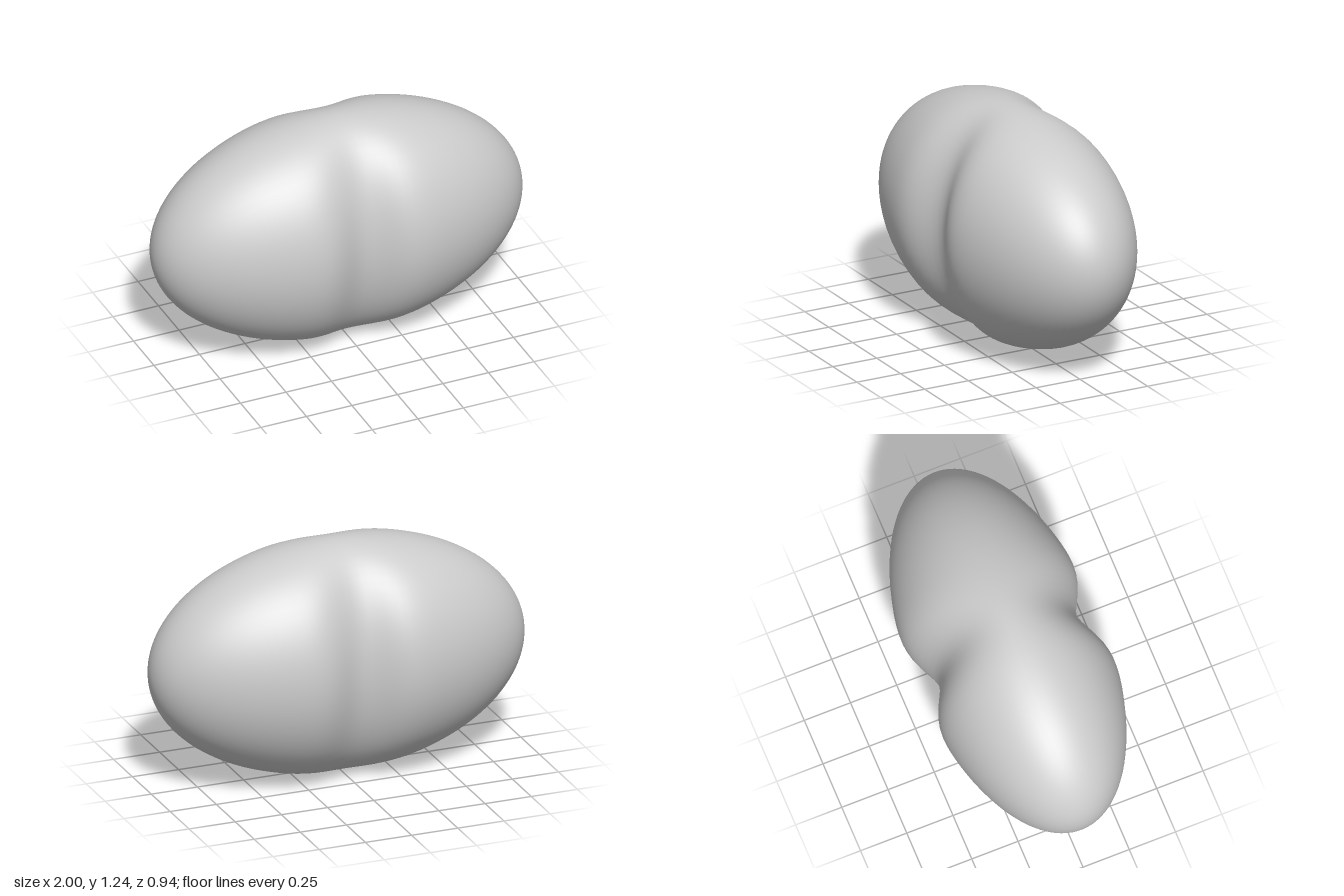
import * as THREE from 'three';
import { mergeVertices } from 'three/addons/utils/BufferGeometryUtils.js';

const HALF_LENGTH = 1, HALF_HEIGHT = 0.62, HALF_DEPTH = 0.496;
const PINCH = 0.235, PINCH_WIDTH = 0.17;

// Two-lobed body: an ellipsoid whose depth narrows smoothly around x = 0
function lobedBody() {
  let geometry = new THREE.SphereGeometry(1, 64, 80).rotateZ(Math.PI / 2);
  const p = geometry.attributes.position;
  for (let i = 0; i < p.count; i++) {
    const x = p.getX(i);
    const waist = 1 - PINCH * Math.exp(-((x / PINCH_WIDTH) ** 2));
    p.setXYZ(i, x * HALF_LENGTH, p.getY(i) * HALF_HEIGHT, p.getZ(i) * HALF_DEPTH * waist);
  }
  // Weld the seam so the shading stays smooth all round
  geometry.deleteAttribute('uv');
  geometry.deleteAttribute('normal');
  geometry = mergeVertices(geometry, 1e-5);
  geometry.computeVertexNormals();
  return geometry;
}

export function createModel() {
  const group = new THREE.Group();
  group.name = 'lobedEllipsoid';
  const body = new THREE.Mesh(lobedBody(), new THREE.MeshStandardMaterial({ color: 0xcccccc }));
  body.name = 'body';
  body.position.y = HALF_HEIGHT;
  group.add(body);
  return group;
}
